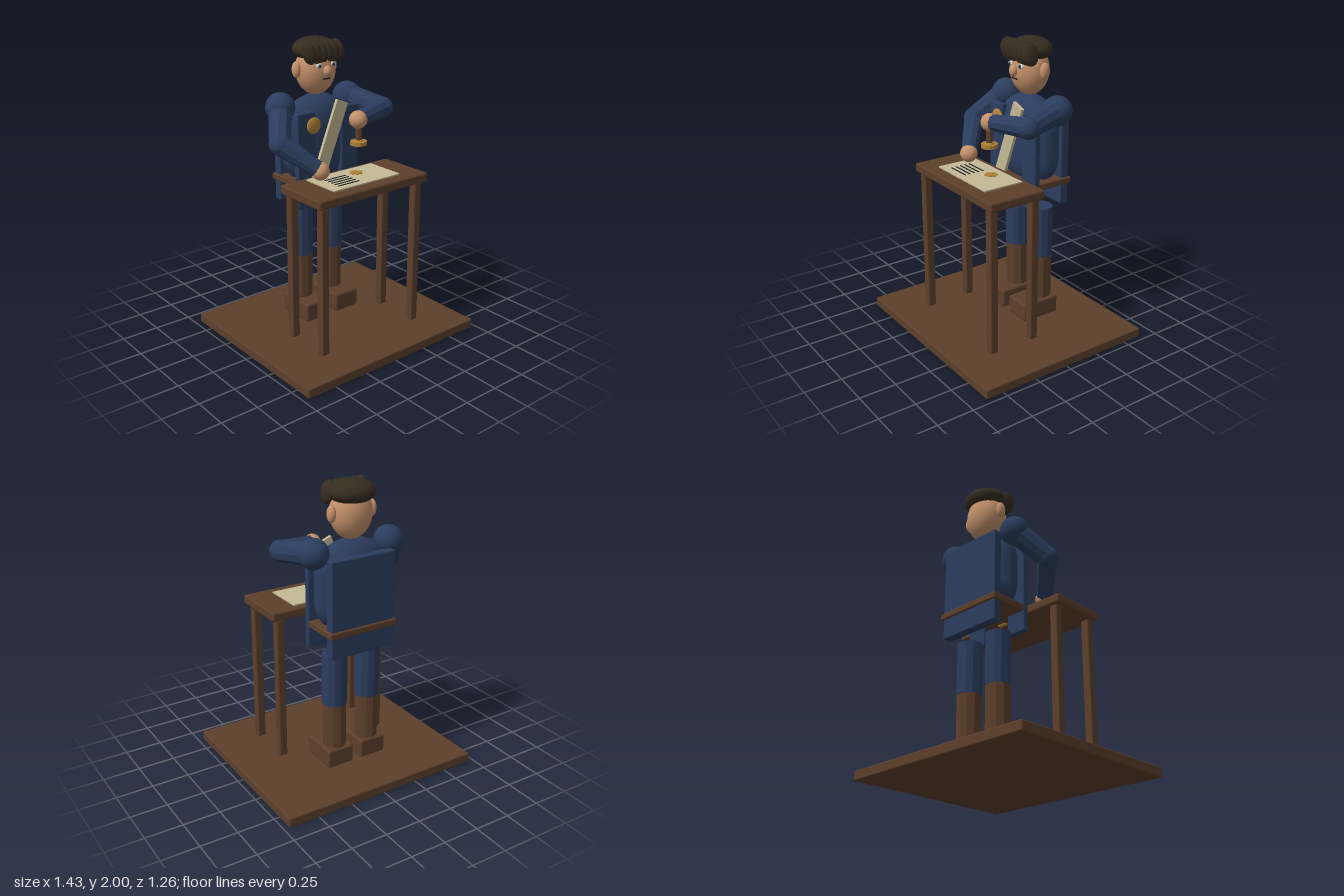
import * as THREE from 'three';
import { RoundedBoxGeometry } from 'three/addons/geometries/RoundedBoxGeometry.js';

const paint = (name, color) => {
  const m = new THREE.MeshStandardMaterial({ color });
  m.name = name;
  return m;
};

export function createModel() {
  const model = new THREE.Group();
  model.name = 'clerkAtDesk';
  const wood = paint('wood', 0x5c3f2b);
  const cloth = paint('blueCloth', 0x2b3d5e);
  const skin = paint('skin', 0xc4916b);
  const hair = paint('hair', 0x352c20);
  const gold = paint('brass', 0xad7f33);
  const cream = paint('cream', 0xc4b995);
  const ink = paint('ink', 0x1b1d26);
  const white = paint('eyeWhite', 0xd8d8d4);
  const iris = paint('iris', 0x3d5a78);

  const V = (x, y, z) => new THREE.Vector3(x, y, z);
  const add = (name, geo, mat, x = 0, y = 0, z = 0, parent = model) => {
    const m = new THREE.Mesh(geo, mat);
    m.name = name;
    m.position.set(x, y, z);
    parent.add(m);
    return m;
  };
  const faceted = (geo) => {
    const g = geo.toNonIndexed();
    g.computeVertexNormals();
    return g;
  };
  // Box given by its extents, with slightly rounded edges
  const block = (name, mat, x0, x1, y0, y1, z0, z1, r = 0.01) =>
    add(name, new RoundedBoxGeometry(x1 - x0, y1 - y0, z1 - z0, 2, r), mat,
      (x0 + x1) / 2, (y0 + y1) / 2, (z0 + z1) / 2);
  const ball = (name, mat, x, y, z, rx, ry = rx, rz = rx) => {
    const m = add(name, new THREE.SphereGeometry(1, 24, 16), mat, x, y, z);
    m.scale.set(rx, ry, rz);
    return m;
  };
  // Faceted tapered limb between two points
  const limb = (name, mat, a, b, ra, rb, sides = 10) => {
    const m = add(name, faceted(new THREE.CylinderGeometry(rb, ra, a.distanceTo(b), sides)), mat);
    m.position.copy(a).add(b).multiplyScalar(0.5);
    m.quaternion.setFromUnitVectors(V(0, 1, 0), b.clone().sub(a).normalize());
    return m;
  };

  // Floor and desk
  block('floor', wood, -0.715, 0.715, 0, 0.067, -0.635, 0.63);
  block('deskTop', wood, -0.45, 0.45, 1.077, 1.14, 0, 0.41, 0.014);
  for (const x of [-0.39, 0.385])
    for (const z of [0.045, 0.36])
      block('deskLeg', wood, x - 0.029, x + 0.029, 0.072, 1.077, z - 0.029, z + 0.029);

  // Sheet with written lines and a wax seal
  add('paper', new THREE.BoxGeometry(0.545, 0.009, 0.285), cream, -0.002, 1.145, 0.1875);
  for (let i = 0; i < 5; i++)
    add('writtenLine', new THREE.BoxGeometry(0.17, 0.004, 0.008), ink, -0.115, 1.151, 0.14 + i * 0.034);
  for (let i = 0; i < 6; i++) {
    const a = i * Math.PI / 3;
    ball('sealPetal', gold, 0.06 + 0.028 * Math.cos(a), 1.152, 0.14 + 0.028 * Math.sin(a), 0.017, 0.006, 0.017);
  }
  ball('sealCentre', gold, 0.06, 1.153, 0.14, 0.022, 0.007, 0.022);

  // Shoes, boots and trousers
  for (const x of [-0.13, 0.125]) {
    block('shoe', wood, x - 0.097, x + 0.097, 0.08, 0.21, -0.305, -0.025, 0.016);
    limb('bootShaft', wood, V(x, 0.15, -0.217), V(x, 0.52, -0.217), 0.079, 0.081);
    limb('trouserLeg', cloth, V(x, 0.52, -0.217), V(x, 0.875, -0.217), 0.084, 0.084, 12);
  }

  // Torso and coat panels
  const torso = add('torso', new THREE.CapsuleGeometry(0.21, 0.2, 5, 14), cloth, 0, 1.32, -0.21);
  torso.scale.set(1.24, 1, 0.7);
  block('coatBack', cloth, -0.235, 0.235, 0.9, 1.547, -0.36, -0.298);
  for (const s of [-1, 1])
    block('coatFront', cloth, s * 0.18 - 0.073, s * 0.18 + 0.073, 0.9, 1.547, -0.11, -0.067);

  // Belt, buckle, sash and medal
  block('belt', wood, -0.25, 0.25, 1.04, 1.086, -0.373, -0.068);
  block('beltFront', wood, -0.225, 0.225, 1.04, 1.084, -0.07, -0.042);
  block('buckle', gold, -0.037, 0.032, 1.03, 1.08, -0.06, -0.03, 0.006);
  const sash = add('sash', new THREE.BoxGeometry(0.095, 0.6, 0.022), cream, -0.015, 1.31, -0.052);
  sash.rotation.z = -0.38;
  ball('medal', gold, -0.138, 1.46, -0.05, 0.055, 0.055, 0.016);

  // Arms
  const arm = (shoulder, elbow, hand) => {
    ball('shoulder', cloth, ...shoulder.toArray(), 0.098);
    limb('upperArm', cloth, shoulder, elbow, 0.08, 0.07);
    ball('elbow', cloth, ...elbow.toArray(), 0.071);
    const wrist = elbow.clone().lerp(hand, 0.93);
    limb('forearm', cloth, elbow, wrist, 0.07, 0.054);
    ball('hand', skin, ...hand.toArray(), 0.059);
  };
  arm(V(-0.278, 1.57, -0.22), V(-0.412, 1.388, -0.045), V(-0.222, 1.215, 0.125));
  arm(V(0.278, 1.57, -0.22), V(0.352, 1.525, 0.06), V(0.065, 1.508, 0.15));

  // Hand stamp
  limb('stampHandle', wood, V(0.066, 1.37, 0.155), V(0.066, 1.5, 0.155), 0.021, 0.021);
  limb('stampCollar', gold, V(0.066, 1.365, 0.155), V(0.066, 1.377, 0.155), 0.034, 0.026, 12);
  limb('stampPlate', gold, V(0.066, 1.343, 0.155), V(0.066, 1.368, 0.155), 0.055, 0.055, 12);

  // Head and face
  ball('head', skin, 0, 1.79, -0.207, 0.14, 0.17, 0.124);
  ball('nose', skin, 0, 1.792, -0.078, 0.03, 0.037, 0.028);
  for (const s of [-1, 1]) {
    ball('ear', skin, s * 0.148, 1.798, -0.217, 0.028, 0.055, 0.034);
    ball('eye', white, s * 0.056, 1.828, -0.098, 0.024, 0.016, 0.012);
    ball('iris', iris, s * 0.056, 1.828, -0.089, 0.012, 0.013, 0.006);
    ball('pupil', ink, s * 0.056, 1.828, -0.084, 0.006, 0.007, 0.004);
    const brow = add('eyebrow', new THREE.BoxGeometry(0.055, 0.009, 0.012), hair, s * 0.056, 1.853, -0.096);
    brow.rotation.z = -s * 0.08;
  }
  add('mouth', new THREE.BoxGeometry(0.055, 0.008, 0.009), ink, 0, 1.742, -0.088);

  // Hair cap and swept fringe
  ball('hairCap', hair, 0, 1.921, -0.217, 0.152, 0.08, 0.133);
  for (let i = 0; i < 6; i++) {
    const lock = ball('fringeLock', hair, -0.115 + i * 0.046, 1.912, -0.124, 0.036, 0.076, 0.06);
    lock.rotation.z = 0.24;
  }
  return model;
}
